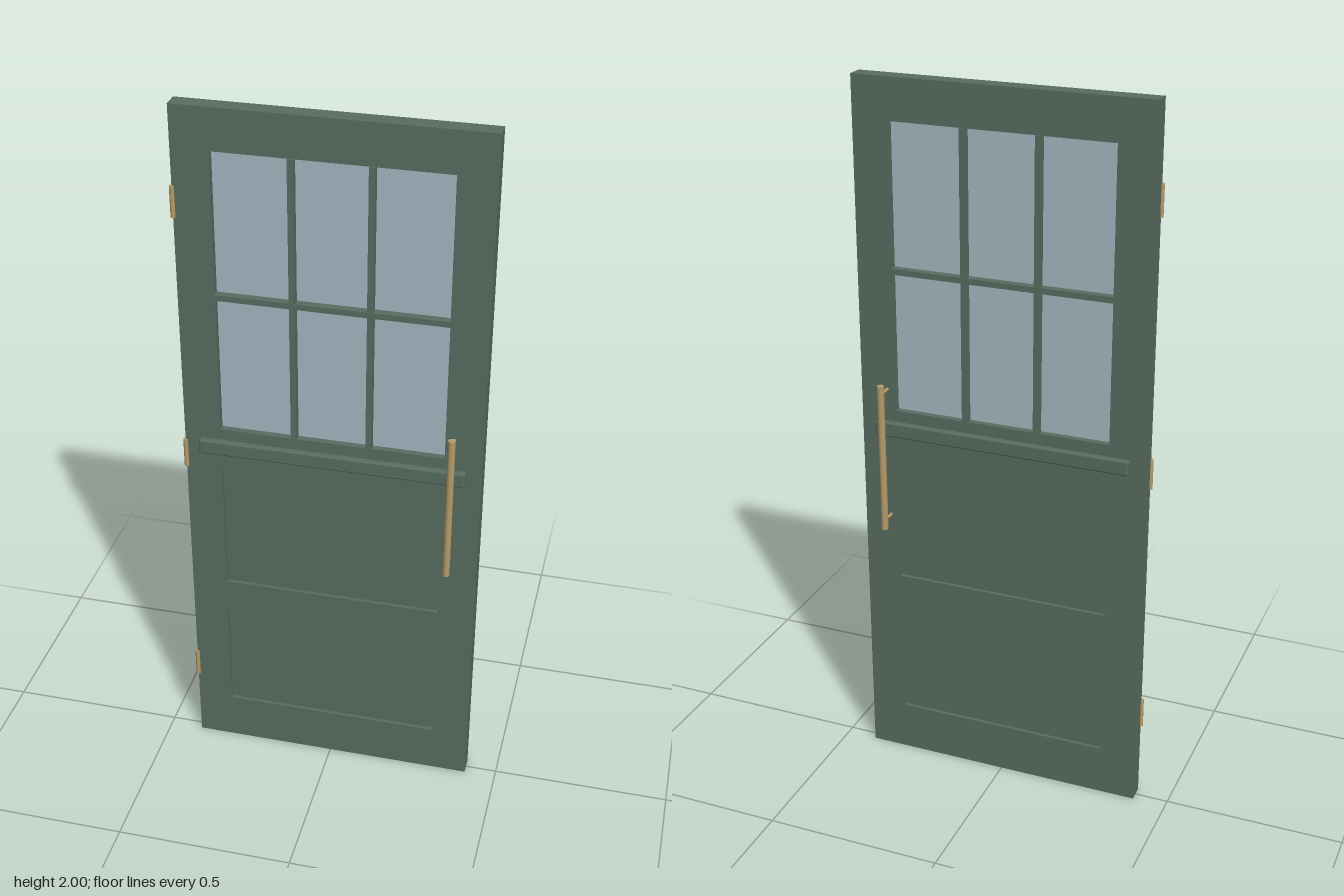
import * as THREE from 'three';
import { RoundedBoxGeometry } from 'three/addons/geometries/RoundedBoxGeometry.js';

const paint = new THREE.MeshStandardMaterial({ color: 0x586d62 });
paint.name = 'greenPaint';
const glass = new THREE.MeshStandardMaterial({ color: 0xa6b9c3 });
glass.name = 'paleGlass';
const brass = new THREE.MeshStandardMaterial({ color: 0xb59b68 });
brass.name = 'brass';

const WIDTH = 0.816, HEIGHT = 2, DEPTH = 0.048;
const OPEN = 0.307; // half width of every opening
const WINDOW = [1.09, 1.887];
const PANELS = [[0.143, 0.482], [0.578, 0.963]];

export function createModel() {
  const door = new THREE.Group();
  door.name = 'door';

  function add(name, geometry, material, x, y, z) {
    const mesh = new THREE.Mesh(geometry, material);
    mesh.name = name;
    mesh.position.set(x, y, z);
    door.add(mesh);
    return mesh;
  }
  const box = (name, material, w, h, d, x, y, z = 0) =>
    add(name, new THREE.BoxGeometry(w, h, d), material, x, y, z);

  // Frame of stiles and rails with three openings
  const outline = new THREE.Shape([
    new THREE.Vector2(-WIDTH / 2, 0), new THREE.Vector2(WIDTH / 2, 0),
    new THREE.Vector2(WIDTH / 2, HEIGHT), new THREE.Vector2(-WIDTH / 2, HEIGHT),
  ]);
  for (const [low, high] of [WINDOW, ...PANELS]) {
    outline.holes.push(new THREE.Path([
      new THREE.Vector2(-OPEN, low), new THREE.Vector2(-OPEN, high),
      new THREE.Vector2(OPEN, high), new THREE.Vector2(OPEN, low),
    ]));
  }
  add('frame', new THREE.ExtrudeGeometry(outline, { depth: DEPTH, bevelEnabled: false }),
    paint, 0, 0, -DEPTH / 2);

  // Recessed lower panels
  for (const [low, high] of PANELS) {
    box('recessedPanel', paint, OPEN * 2, high - low, 0.028, 0, (low + high) / 2);
  }

  // Window pane and its glazing bars
  const paneHeight = WINDOW[1] - WINDOW[0];
  const paneY = (WINDOW[0] + WINDOW[1]) / 2;
  box('windowPane', glass, OPEN * 2, paneHeight, 0.012, 0, paneY);
  for (const x of [-0.102, 0.102]) {
    box('verticalGlazingBar', paint, 0.016, paneHeight, 0.054, x, paneY);
  }
  box('horizontalGlazingBar', paint, OPEN * 2, 0.016, 0.056, 0, paneY);

  // Ledge below the window, projecting on both faces
  add('ledge', new RoundedBoxGeometry(0.73, 0.042, 0.081, 3, 0.005), paint, 0, 1.036, 0);

  // Pull handles on both faces, each on two standoffs
  const handleX = 0.331;
  for (const side of [1, -1]) {
    add('pullHandle', new THREE.CylinderGeometry(0.01, 0.01, 0.43, 24),
      brass, handleX, 0.96, side * 0.067);
    for (const y of [0.77, 1.15]) {
      add('handleStandoff', new THREE.CylinderGeometry(0.0045, 0.0045, 0.047, 16),
        brass, handleX, y, side * 0.0435).rotation.x = Math.PI / 2;
    }
  }

  // Hinge knuckles on the front right edge
  for (const y of [0.262, 1.003, 1.744]) {
    add('hingeKnuckle', new THREE.CylinderGeometry(0.0065, 0.0065, 0.085, 16),
      brass, -WIDTH / 2, y, DEPTH / 2);
  }

  // Balance the hinge overhang about the centre
  door.position.x = 0.003;
  const model = new THREE.Group();
  model.name = 'glazedDoor';
  model.add(door);
  return model;
}
